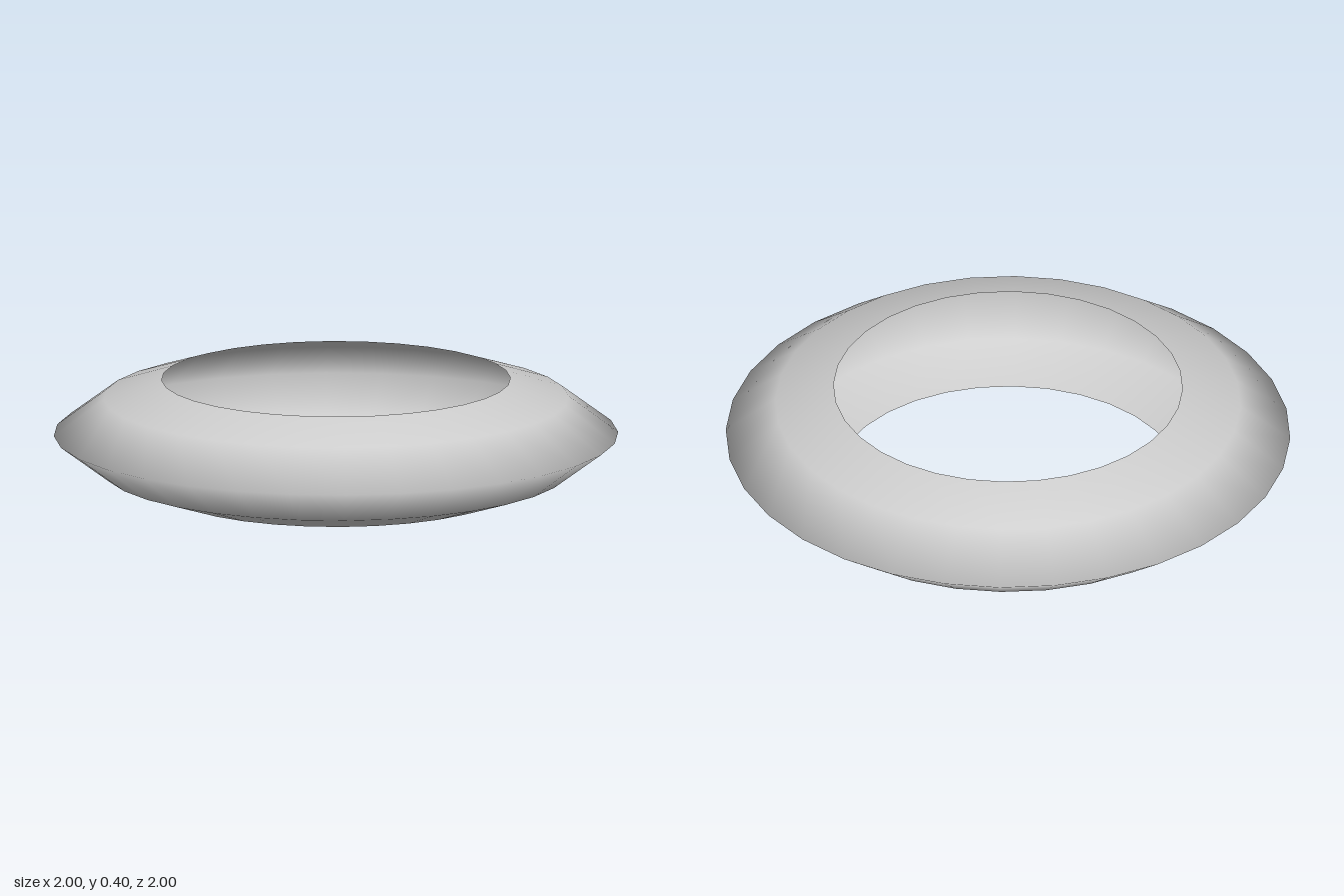
import * as THREE from 'three';

export function createModel() {
  const group = new THREE.Group();
  group.name = 'ring';

  // Outer shell profile from lower rim to upper rim, open towards the hole
  const profile = [
    [0.618, 0],
    [0.824, 0.068],
    [1, 0.2],
    [0.824, 0.332],
    [0.618, 0.4],
  ].map(([r, y]) => new THREE.Vector2(r, y));

  const material = new THREE.MeshStandardMaterial({ color: 0xcccccc, side: THREE.DoubleSide });
  const shell = new THREE.Mesh(new THREE.LatheGeometry(profile, 32), material);
  shell.name = 'ringShell';
  group.add(shell);
  return group;
}
